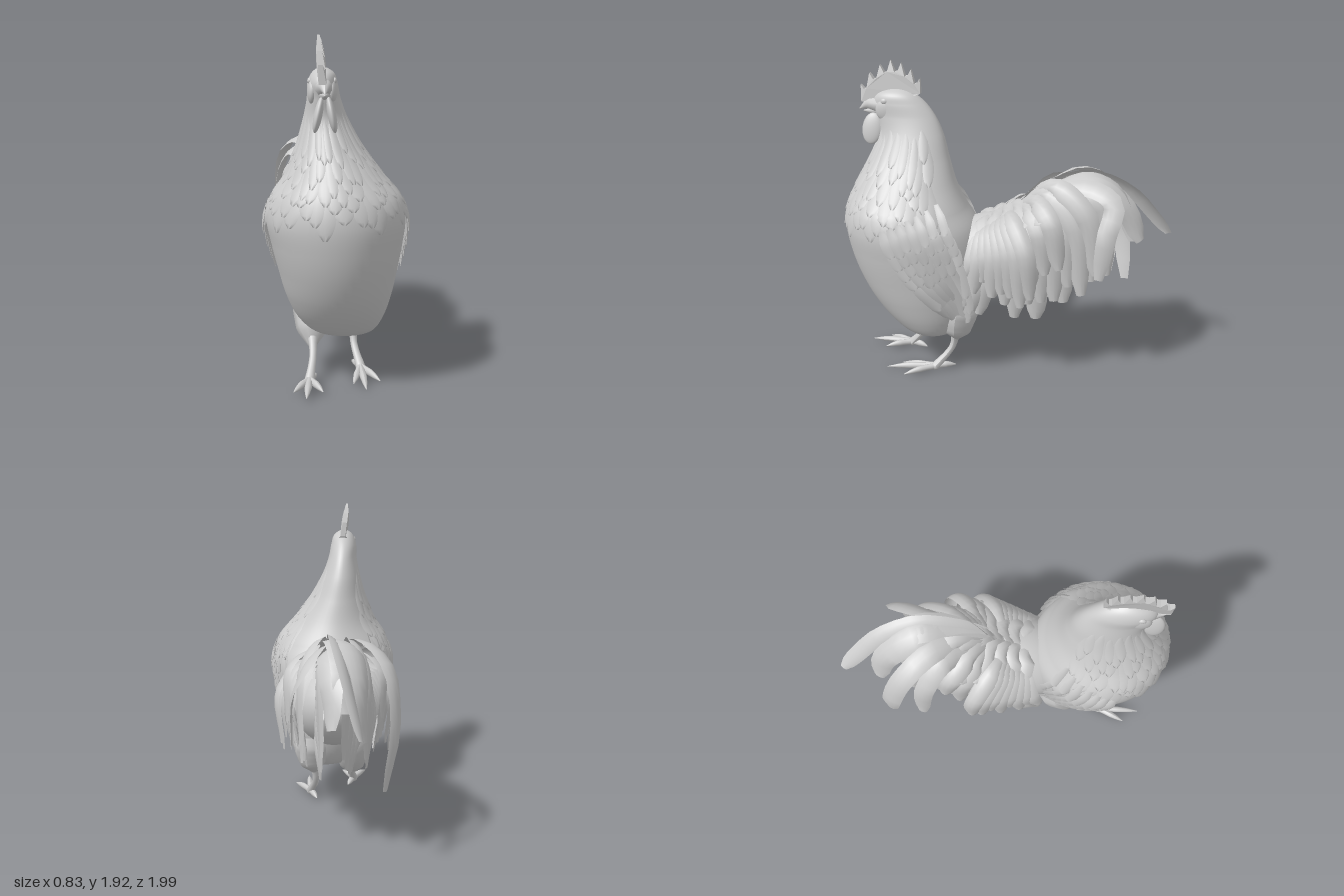
import * as THREE from 'three';
import { mergeGeometries } from 'three/addons/utils/BufferGeometryUtils.js';
import { ParametricGeometry } from 'three/addons/geometries/ParametricGeometry.js';

const V = (x, y, z) => new THREE.Vector3(x, y, z);
const solid = new THREE.MeshStandardMaterial({ color: 0xcccccc });
const thin = new THREE.MeshStandardMaterial({ color: 0xcccccc, side: THREE.DoubleSide });

// Body sections: height, front z, back z, right x, left x
const SECTIONS = [
  [.255, .44, .44, .07, .07], [.26, .52, .34, -.04, .18], [.285, .62, .28, -.12, .24], [.37, .725, .22, -.2, .29],
  [.5, .83, .17, -.26, .33], [.65, .91, .14, -.3, .36], [.8, .96, .14, -.335, .385], [.95, .985, .17, -.36, .4],
  [1.07, .97, .24, -.33, .37], [1.2, .915, .3, -.25, .265], [1.35, .84, .345, -.19, .155], [1.5, .785, .385, -.155, .08],
  [1.6, .8, .43, -.135, .045], [1.68, .82, .49, -.13, .03], [1.73, .79, .55, -.11, .015], [1.76, .72, .62, -.075, -.025],
  [1.765, .67, .67, -.05, -.05],
];
const LAST = SECTIONS.length - 1;
const sideCurve = new THREE.CatmullRomCurve3(SECTIONS.map(s => V(s[0], s[1], s[2])));
const frontCurve = new THREE.CatmullRomCurve3(SECTIONS.map(s => V(s[0], s[3], s[4])));

// Centre and half sizes of the body at section number t
function section(t) {
  const k = THREE.MathUtils.clamp(t / LAST, 0, 1);
  const p = sideCurve.getPoint(k), q = frontCurve.getPoint(k);
  return { y: p.x, cx: (q.y + q.z) / 2, hx: (q.z - q.y) / 2, cz: (p.y + p.z) / 2, hz: (p.y - p.z) / 2 };
}

// Point on the body skin at section t and angle a, lifted outward
function skin(t, a, lift, target) {
  const s = section(t);
  return target.set(s.cx + Math.cos(a) * (s.hx + lift), s.y, s.cz - Math.sin(a) * (s.hz + lift));
}

// Point on the flank of the given side at height y and depth z
function flank(side, y, z, lift) {
  let lo = 0, hi = LAST;
  for (let i = 0; i < 16; i++) {
    const mid = (lo + hi) / 2;
    if (section(mid).y < y) lo = mid; else hi = mid;
  }
  const s = section(lo);
  return V(s.cx + side * (s.hx * Math.sqrt(Math.max(.46, 1 - ((z - s.cz) / s.hz) ** 2)) + lift), y, z);
}

// Curved, blunt feather vane along a path; ref is the way its face looks
function feather(points, width, ref, curl = .2) {
  const curve = new THREE.CatmullRomCurve3(points);
  const n0 = ref.clone().normalize();
  return new ParametricGeometry((u, v, target) => {
    const c = curve.getPoint(v), t = curve.getTangent(v);
    const side = t.clone().cross(n0).normalize(), n = side.clone().cross(t);
    const w = width * (.5 + .5 * Math.min(1, v * 2.5)) * Math.sqrt(1.2 - Math.pow(v, 10));
    const x = u - .5;
    target.copy(c).addScaledVector(side, x * w).addScaledVector(n, -curl * w * 4 * x * x);
  }, 4, 14);
}

// Round limb whose radius follows a list
function taper(points, radii) {
  const n = 14, sides = 10, curve = new THREE.CatmullRomCurve3(points);
  const g = new THREE.TubeGeometry(curve, n, 1, sides);
  const pos = g.attributes.position, p = V(0, 0, 0);
  for (let i = 0; i < pos.count; i++) {
    const k = Math.floor(i / (sides + 1)) / n, f = k * (radii.length - 1);
    const j = Math.min(Math.floor(f), radii.length - 2);
    const r = THREE.MathUtils.lerp(radii[j], radii[j + 1], f - j);
    const c = curve.getPointAt(k);
    p.fromBufferAttribute(pos, i).sub(c).multiplyScalar(r).add(c);
    pos.setXYZ(i, p.x, p.y, p.z);
  }
  g.computeVertexNormals();
  return g;
}

export function createModel() {
  const model = new THREE.Group();
  const add = (name, geo, mat = solid, parent = model) => {
    const m = new THREE.Mesh(geo, mat);
    m.name = name;
    parent.add(m);
    return m;
  };
  const ball = (name, pos, radii, tilt = 0) => {
    const m = add(name, new THREE.SphereGeometry(1, 28, 18));
    m.position.set(...pos);
    m.scale.set(...radii);
    m.rotation.x = tilt;
    return m;
  };

  // Body, neck and head in one skin, then the rump
  add('body', new ParametricGeometry((u, v, p) =>
    skin(LAST * (.002 + .996 * v), u * Math.PI * 2, 0, p), 48, 80));
  ball('rump', [-.01, .76, .1], [.25, .26, .38], .3);

  // Long overlapping hackle feathers round the neck and chest, leaving the nape smooth
  const hackles = [];
  for (let row = 0; row < 6; row++) {
    for (let i = 0; i < 24; i++) {
      const a0 = (i + (row % 2) / 2) / 24 * Math.PI * 2;
      if (Math.sin(a0) > .7) continue;
      const t0 = 11.2 - row * .5 + .2 * Math.sin(i * 4.1 + row), len = 1.65 + .3 * Math.sin(i * 2.4 + row);
      hackles.push(new ParametricGeometry((u, v, p) => {
        const x = u - .5, w = .29 * (.6 + .4 * Math.sin(v * Math.PI)) * Math.sqrt(1.1 - Math.pow(v, 8));
        return skin(t0 - v * len, a0 + x * w, .012 * v - .02 * x * x, p);
      }, 4, 8));
    }
  }
  add('hackleFeathers', mergeGeometries(hackles), thin);

  // Wings: rows of feathers laid on the flanks, narrowing to a tip that points down and back
  for (const s of [1, -1]) {
    const parts = [];
    for (let row = 0; row < 6; row++) {
      const n = 7, u0 = -.06 + row * .11, len = row < 4 ? .26 : .48;
      for (let i = 0; i < n; i++) {
        const f = i / (n - 1) * 2 - 1;
        const reach = len * (1 - .12 * Math.abs(f) + .08 * Math.sin(i * 2.3 + row));
        const path = [0, .5, 1].map(k => {
          const u = u0 + reach * k, w = f * .165 * (1 - 1.15 * Math.max(0, u - .35));
          return flank(s, 1.04 - .66 * u + .4 * w, .5 - .3 * u - .86 * w, .016 - row * .002 + .014 * k);
        });
        parts.push(feather(path, .07, V(s, .1, 0), .12));
      }
    }
    add(s > 0 ? 'leftWing' : 'rightWing', mergeGeometries(parts), thin);
  }

  // Tail layers: first path, last path, feather count, width; mirrored about the tail axis
  const layers = [
    [[[0, 1.0, .15], [.1, 1.02, .12], [.22, .94, .1]], [[0, 1.07, -.05], [.12, 1.14, -.15], [.28, 1.08, -.26]], 5, .12],
    [[[.05, .98, .12], [.2, .94, .13], [.28, .8, .17], [.27, .66, .22]],
      [[.03, 1.04, .03], [.22, 1.08, -.06], [.36, .92, -.17], [.33, .56, -.2]], 8, .1],
    [[[.04, .98, .1], [.2, .85, .1], [.27, .65, .14], [.22, .41, .22]],
      [[.03, 1.06, -.06], [.18, 1.17, -.2], [.29, 1.08, -.31], [.28, .78, -.36]], 8, .11],
    [[[.04, .98, .05], [.17, .98, -.04], [.24, .76, -.1], [.19, .45, -.08]],
      [[.03, 1.08, -.1], [.12, 1.25, -.3], [.2, 1.12, -.5], [.19, .68, -.57]], 7, .12],
    [[[.02, .8, 0], [.1, .78, -.12], [.13, .62, -.2], [.1, .42, -.2]],
      [[.02, .95, -.1], [.05, 1.2, -.35], [.09, 1.15, -.56], [.07, .7, -.62]], 6, .13],
  ];
  layers.forEach(([first, last, count, width], l) => {
    const parts = [];
    for (const s of [1, -1]) {
      for (let i = 0; i < count; i++) {
        const k = i / (count - 1), jitter = .05 * Math.sin(i * 2.7 + s + l);
        const path = first.map((p, j) => {
          const q = V(...p).lerp(V(...last[j]), k);
          return V(-.035 + s * q.x, q.y + (j === 3 ? jitter : 0), q.z);
        });
        parts.push(feather(path, width, V(s, .7, -.1)));
      }
    }
    add('tailLayer' + (l + 1), mergeGeometries(parts), thin);
  });

  // Long arching sickle feathers: path, width and facing side
  const sickles = [
    [[[0, 1, 0], [-.02, 1.23, -.25], [-.05, 1.31, -.5], [-.1, 1.22, -.72], [-.16, 1.04, -.88], [-.2, .9, -.98]], .1, -.8],
    [[[-.03, 1, 0], [-.1, 1.2, -.22], [-.22, 1.29, -.42], [-.35, 1.18, -.58], [-.39, .87, -.68], [-.33, .52, -.72]], .12, -.5],
    [[[.02, 1, 0], [.03, 1.2, -.28], [.07, 1.25, -.52], [.13, 1.18, -.66], [.2, 1, -.63], [.2, .72, -.59]], .11, .7],
    [[[0, 1, 0], [0, 1.2, -.3], [-.01, 1.26, -.55], [-.02, 1.13, -.72], [-.03, .9, -.82]], .15, .4],
    [[[-.03, 1, 0], [-.08, 1.22, -.3], [-.15, 1.28, -.52], [-.2, 1.12, -.7], [-.22, .82, -.77]], .14, -.6],
    [[[0, 1, 0], [-.02, 1.24, -.3], [-.07, 1.31, -.5], [-.11, 1.21, -.68], [-.12, .98, -.78]], .16, -.15],
    [[[-.05, .98, 0], [-.15, 1.16, -.2], [-.27, 1.22, -.36], [-.37, 1.05, -.46], [-.38, .64, -.5]], .11, -.8],
  ];
  add('sickleFeathers', mergeGeometries(sickles.map(([path, w, face]) =>
    feather(path.map(p => V(...p)), w, V(face, .8, -.1), .12))), thin);

  // Comb: spiked blade, thick at the base, pinched at both ends and leaning slightly
  const tips = [[.89, 1.78], [.835, 1.85], [.77, 1.9], [.705, 1.93], [.64, 1.915], [.58, 1.88], [.525, 1.83]];
  const outline = new THREE.Shape().moveTo(.885, 1.68);
  tips.forEach(([z, y], i) => {
    outline.lineTo(z, y);
    if (i === tips.length - 1) return;
    const [z2, y2] = tips[i + 1];
    outline.lineTo(z * .6 + z2 * .4, (y + y2) / 2 - .06).lineTo(z * .3 + z2 * .7, (y + y2) / 2 - .055);
  });
  outline.lineTo(.52, 1.74).lineTo(.58, 1.72).lineTo(.7, 1.7);
  const comb = new THREE.ExtrudeGeometry(outline, { depth: .08, bevelEnabled: false });
  comb.translate(0, 0, -.04).rotateY(-Math.PI / 2);
  const cp = comb.attributes.position;
  for (let i = 0; i < cp.count; i++) {
    const h = (cp.getY(i) - 1.7) / .24, e = (cp.getZ(i) - .7) / .2;
    cp.setX(i, cp.getX(i) * (1.1 - h) * (1.1 - .8 * e * e) - .045 - .025 * h);
  }
  comb.computeVertexNormals();
  add('comb', comb);

  // Beak, eyes, cheeks and wattles
  add('upperBeak', taper([V(-.045, 1.66, .76), V(-.035, 1.665, .84), V(-.03, 1.635, .9)], [.055, .036, .003]));
  add('lowerBeak', taper([V(-.045, 1.63, .76), V(-.035, 1.625, .82), V(-.03, 1.625, .875)], [.04, .022, .003]));
  for (const s of [1, -1]) {
    const side = s > 0 ? 'left' : 'right';
    ball(side + 'Eye', [-.05 + s * .064, 1.695, .73], [.013, .018, .022]);
    ball(side + 'Cheek', [-.05 + s * .05, 1.64, .72], [.028, .07, .07]);
    ball(side + 'Wattle', [-.033 + s * .035, 1.525, .815], [.022, .095, .062], -.12).rotation.z = s * .2;
  }

  // Legs: thigh path, shank path, toe tips
  const leg = (name, thigh, shank, toes) => {
    const g = new THREE.Group();
    g.name = name;
    model.add(g);
    const pts = list => list.map(p => V(...p));
    add('thigh', taper(pts(thigh), [.09, .12, .11, .09, .01]), solid, g);
    add('shank', taper(pts(shank), [.035, .022, .02, .022, .028]), solid, g);
    const foot = V(...shank[shank.length - 1]);
    add('ankle', new THREE.SphereGeometry(.027, 16, 12), solid, g).position.copy(foot);
    toes.forEach(t => {
      const tip = V(...t), mid = foot.clone().lerp(tip, .55);
      mid.y += .006;
      add('toe', taper([foot, mid, tip], [.022, .019, .02, .014, .002]), solid, g);
    });
  };
  leg('rightLeg', [[-.12, .55, .3], [-.12, .34, .37], [-.115, .165, .49]],
    [[-.115, .24, .46], [-.11, .14, .56], [-.125, .04, .65]],
    [[-.13, .035, .92], [-.205, .03, .82], [-.045, .03, .81], [-.09, .03, .54]]);
  leg('leftLeg', [[.14, .52, .24], [.14, .38, .27], [.125, .22, .29]],
    [[.125, .28, .29], [.12, .16, .32], [.16, .035, .42]],
    [[.27, .014, .6], [.19, .014, .73], [.12, .014, .65], [.11, .03, .3]]);
  return model;
}
